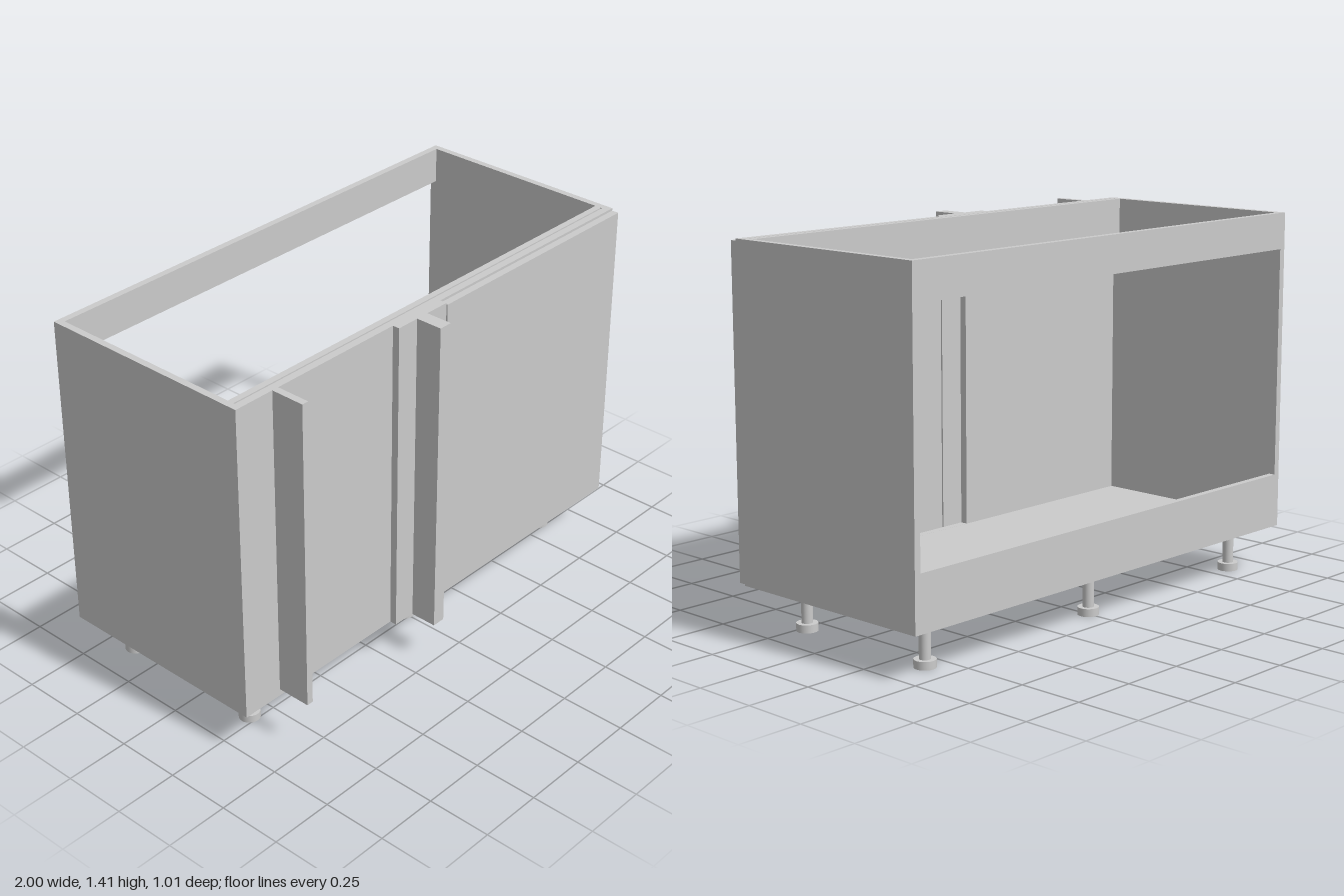
import * as THREE from 'three';

const material = new THREE.MeshStandardMaterial({ color: 0xcccccc });

// Box given by its extents on each axis
function panel(parent, name, [x0, x1], [y0, y1], [z0, z1]) {
  const mesh = new THREE.Mesh(new THREE.BoxGeometry(x1 - x0, y1 - y0, z1 - z0), material);
  mesh.position.set((x0 + x1) / 2, (y0 + y1) / 2, (z0 + z1) / 2);
  mesh.name = name;
  parent.add(mesh);
}

// Adjustable leg: two round pads joined by a stem
function makeLeg(x, z, height) {
  const leg = new THREE.Group();
  leg.name = 'leg';
  const pad = 0.03;
  const parts = [
    ['footPad', 0.04, 0, pad],
    ['legStem', 0.021, pad, height - pad],
    ['mountingPad', 0.04, height - pad, height],
  ];
  for (const [name, radius, y0, y1] of parts) {
    const mesh = new THREE.Mesh(new THREE.CylinderGeometry(radius, radius, y1 - y0, 32), material);
    mesh.position.y = (y0 + y1) / 2;
    mesh.name = name;
    leg.add(mesh);
  }
  leg.position.set(x, 0, z);
  return leg;
}

export function createModel() {
  const cabinet = new THREE.Group();
  cabinet.name = 'cornerBaseCabinet';

  const bottom = 0.17, top = 1.413, thick = 0.026;
  const inner = 1 - thick;
  const back = -0.503, front = 0.37;
  const rail = [top - 0.14, top];
  const full = [bottom, top];

  // Carcass
  panel(cabinet, 'rightSide', [-1, -inner], full, [back, front]);
  panel(cabinet, 'leftSide', [inner, 1], full, [back, front]);
  panel(cabinet, 'floorPanel', [-inner, inner], [bottom, bottom + thick], [back + thick, front - 0.03]);
  panel(cabinet, 'backTopRail', [-inner, inner], rail, [back, back + thick]);
  panel(cabinet, 'backBottomRail', [-inner, inner], [bottom, 0.38], [back, back + thick]);
  panel(cabinet, 'frontTopRail', [-inner, inner], rail, [0.31, 0.335]);

  // Fixed front: blind panel, header and sill around the door opening
  const frame = [0.341, front];
  panel(cabinet, 'blindPanel', [-inner, -0.1], full, frame);
  panel(cabinet, 'doorHeader', [-0.1, inner], rail, frame);
  panel(cabinet, 'doorSill', [-0.1, inner], [bottom, bottom + thick], frame);

  // Corner filler with its projecting fin, and the end fin
  panel(cabinet, 'cornerFiller', [-0.248, 0], full, [front, 0.398]);
  panel(cabinet, 'cornerFin', [-0.155, -0.102], [bottom - 0.003, top], [0.398, 0.503]);
  panel(cabinet, 'endFin', [-0.833, -0.806], [0.197, top], [front, 0.503]);

  // Door
  panel(cabinet, 'door', [0.004, 0.997], [bottom + 0.004, top - 0.008], [front + 0.002, 0.4]);

  // Legs
  for (const x of [-0.84, 0, 0.84])
    for (const z of [0.22, -0.383]) cabinet.add(makeLeg(x, z, bottom));

  return cabinet;
}
